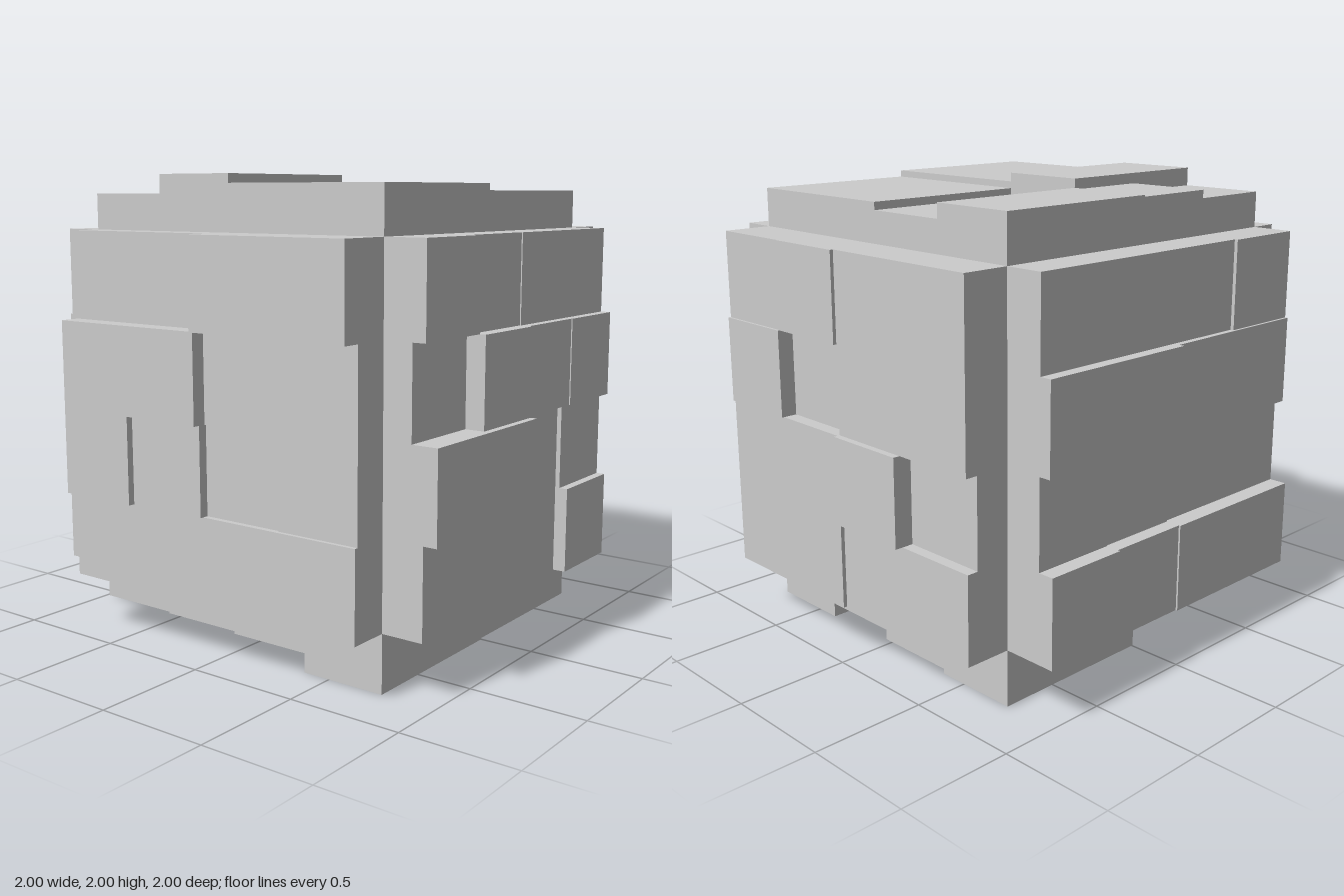
import * as THREE from 'three';

// Grid lines of the four by four cells along each axis
const GRID = {
  x: [-0.76, -0.38, 0, 0.377, 0.757],
  y: [0.247, 0.625, 1.003, 1.381, 1.76],
  z: [-0.76, -0.38, 0, 0.377, 0.757],
};

// Each panel: [u from, u to, v from, v to, outer position], in grid cells
const FACES = {
  frontPanel: { u: 'x', v: 'y', n: 'z', out: 1, panels: [
    [0, 2, 3, 4, 0.89], [2, 4, 3, 4, 1.0],
    [0, 2, 2, 3, 0.98], [0, 1, 1, 2, 0.98], [1, 2, 1, 2, 0.95],
    [2, 4, 2, 3, 0.918], [3, 4, 1, 2, 0.918], [2, 3, 1, 2, 0.91],
    [0, 2, 0, 1, 0.93], [2, 4, 0, 1, 0.935],
  ] },
  backPanel: { u: 'x', v: 'y', n: 'z', out: -1, panels: [
    [0, 2, 2, 4, -0.97], [2, 3, 3, 4, -0.985], [3, 4, 3, 4, -0.98],
    [2, 3, 2, 3, -0.92], [3, 4, 2, 3, -0.992],
    [2, 4, 0, 2, -0.982], [1, 2, 1, 2, -1.0], [0, 1, 1, 2, -0.915],
    [0, 2, 0, 1, -0.965],
  ] },
  leftPanel: { u: 'z', v: 'y', n: 'x', out: 1, panels: [
    [3, 4, 3, 4, 0.943], [2, 3, 3, 4, 0.91], [0, 2, 3, 4, 0.915],
    [3, 4, 2, 3, 0.885], [2, 3, 2, 3, 0.97], [1, 2, 2, 3, 0.955], [0, 1, 2, 3, 0.96],
    [2, 4, 1, 2, 1.0], [1, 2, 1, 2, 0.9], [0, 1, 1, 2, 0.92],
    [3, 4, 0, 1, 0.94], [2, 3, 0, 1, 0.935], [1, 2, 0, 1, 0.9], [0, 1, 0, 1, 0.958],
  ] },
  rightPanel: { u: 'z', v: 'y', n: 'x', out: -1, panels: [
    [0, 3, 3, 4, -0.93], [3, 4, 3, 4, -0.945],
    [0, 2, 2, 3, -0.982], [2, 4, 2, 3, -0.957],
    [0, 1, 1, 2, -0.93], [1, 2, 1, 2, -0.925], [2, 4, 1, 2, -0.917],
    [0, 1, 0, 1, -1.0], [1, 2, 0, 1, -0.988], [2, 4, 0, 1, -0.996],
  ] },
  topPanel: { u: 'x', v: 'z', n: 'y', out: 1, panels: [
    [0, 1, 0, 2, 1.957], [1, 2, 0, 2, 1.895], [2, 4, 0, 2, 1.928],
    [0, 1, 2, 3, 1.95], [0, 1, 3, 4, 1.915], [1, 2, 2, 4, 1.995], [2, 4, 2, 4, 1.957],
  ] },
  bottomPanel: { u: 'x', v: 'z', n: 'y', out: -1, panels: [
    [0, 1, 0, 2, 0.003], [1, 2, 0, 2, 0.025], [2, 3, 0, 2, 0.07], [3, 4, 0, 2, 0.006],
    [0, 1, 2, 4, 0.1], [1, 2, 2, 4, 0.093], [2, 3, 2, 4, 0.082], [3, 4, 2, 4, 0],
  ] },
};

const material = new THREE.MeshStandardMaterial({ color: 0xcccccc, flatShading: true });

// Box from a low and a high position on each axis
function block(name, range) {
  const size = (a) => range[a][1] - range[a][0];
  const mid = (a) => (range[a][1] + range[a][0]) / 2;
  const mesh = new THREE.Mesh(new THREE.BoxGeometry(size('x'), size('y'), size('z')), material);
  mesh.position.set(mid('x'), mid('y'), mid('z'));
  mesh.name = name;
  return mesh;
}

export function createModel() {
  const model = new THREE.Group();
  model.name = 'panelledCube';

  // Plain cube under the panels
  const ends = (a) => [GRID[a][0], GRID[a][4]];
  model.add(block('core', { x: ends('x'), y: ends('y'), z: ends('z') }));

  // Raised panels of differing thickness on all six faces
  for (const [name, { u, v, n, out, panels }] of Object.entries(FACES)) {
    const face = new THREE.Group();
    face.name = name + 's';
    const base = GRID[n][out > 0 ? 4 : 0];
    for (const [u0, u1, v0, v1, outer] of panels) {
      face.add(block(name, {
        [u]: [GRID[u][u0], GRID[u][u1]],
        [v]: [GRID[v][v0], GRID[v][v1]],
        [n]: out > 0 ? [base, outer] : [outer, base],
      }));
    }
    model.add(face);
  }
  return model;
}
